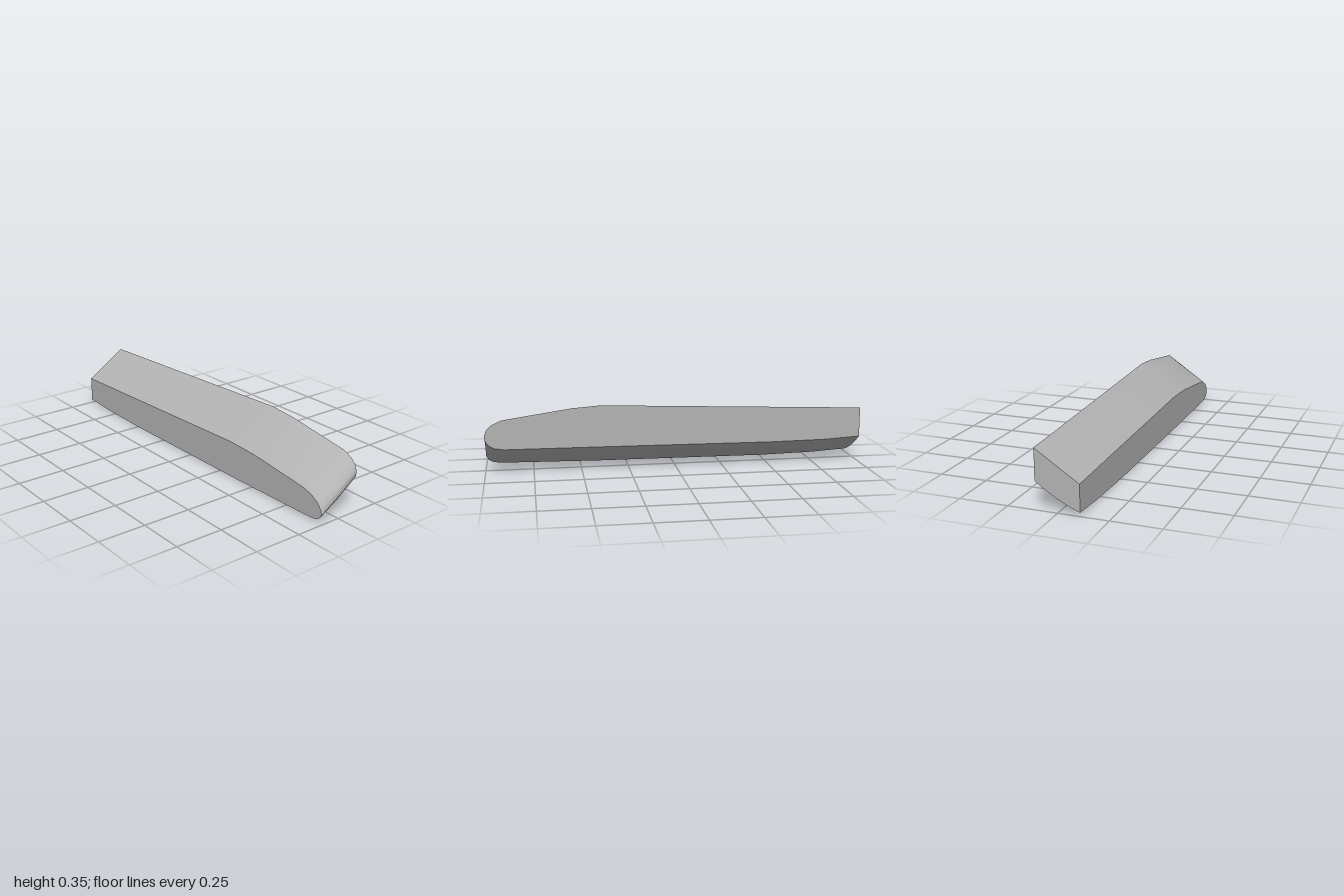
import * as THREE from 'three';
import { toCreasedNormals } from 'three/addons/utils/BufferGeometryUtils.js';

// Matching side outlines as [z, y, sag]: rear top, over the nose, back along the underside.
// sag is how far the surface bows downward midway between the two sides.
const TALL_SIDE = [
  [-1, 0.298, 0], [0.4, 0.353, 0], [0.55, 0.342, 0], [0.91, 0.29, 0], [0.96, 0.266, 0],
  [0.987, 0.24, 0], [0.998, 0.21, 0], [0.994, 0.183, 0.003], [0.98, 0.162, 0.006],
  [0.95, 0.144, 0.01], [0.9, 0.136, 0.011], [0.4, 0.133, 0.011], [-0.5, 0.126, 0.011],
  [-0.8, 0.129, 0.011], [-1, 0.14, 0.01],
];
const LOW_SIDE = [
  [-1, 0.154, 0], [0.34, 0.195, 0], [0.53, 0.186, 0], [0.87, 0.147, 0], [0.93, 0.13, 0],
  [0.97, 0.105, 0], [0.995, 0.075, 0], [1, 0.05, 0], [0.985, 0.029, 0],
  [0.96, 0.017, 0], [0.91, 0.012, 0], [0.4, 0.004, 0], [-0.5, 0, 0],
  [-0.8, 0.006, 0], [-1, 0.018, 0],
];
const HALF_WIDTH = 0.11;
const STEPS = 8;

function bladeGeometry() {
  const n = TALL_SIDE.length;
  const positions = [];
  const index = [];

  // Cross-sections from the low side to the tall side
  for (let s = 0; s <= STEPS; s++) {
    const t = s / STEPS;
    for (let i = 0; i < n; i++) {
      const [z0, y0] = LOW_SIDE[i];
      const [z1, y1, sag] = TALL_SIDE[i];
      const y = THREE.MathUtils.lerp(y0, y1, t) - sag * 4 * t * (1 - t);
      positions.push((2 * t - 1) * HALF_WIDTH, y, THREE.MathUtils.lerp(z0, z1, t));
    }
  }

  // Skin around the top, nose, underside and rear
  for (let s = 0; s < STEPS; s++) {
    for (let i = 0; i < n; i++) {
      const j = (i + 1) % n;
      const a = s * n + i, b = s * n + j, c = b + n, d = a + n;
      index.push(a, b, d, b, c, d);
    }
  }

  // Flat sides, each a fan around a middle point
  const low = positions.length / 3;
  positions.push(-HALF_WIDTH, 0.09, 0, HALF_WIDTH, 0.23, 0);
  const tall = low + 1;
  for (let i = 0; i < n; i++) {
    const j = (i + 1) % n;
    index.push(low, j, i, tall, STEPS * n + i, STEPS * n + j);
  }

  const geometry = new THREE.BufferGeometry();
  geometry.setAttribute('position', new THREE.Float32BufferAttribute(positions, 3));
  geometry.setIndex(index);
  return toCreasedNormals(geometry, THREE.MathUtils.degToRad(32));
}

export function createModel() {
  const grey = new THREE.MeshStandardMaterial({ color: 0xb3b3b3 });
  grey.name = 'light grey';

  const body = new THREE.Mesh(bladeGeometry(), grey);
  body.name = 'slantedBody';

  const model = new THREE.Group();
  model.name = 'slantedRunner';
  model.add(body);
  return model;
}
